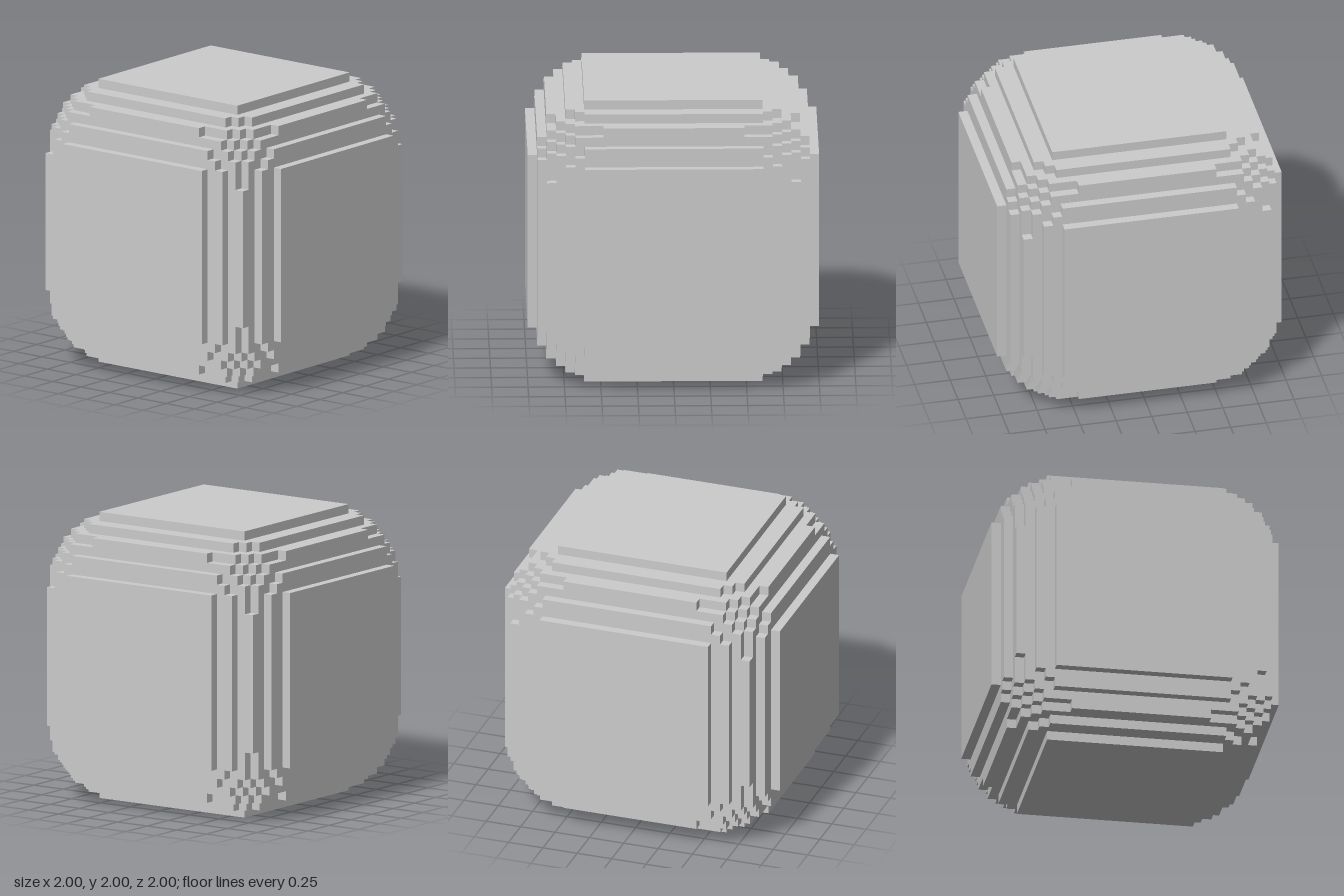
import * as THREE from 'three';

const R = 15;            // cells from the centre to each side (31 cells across)
const UNIT = 2 / 31;     // size of one cell
const CORE = 7.4;        // half size of the straight core inside the rounding
const ROUND_SQ = 63;     // squared rounding radius, in cells

// Is the cell inside the rounded cube?
function inside(...cell) {
  const d = cell.map(v => Math.max(0, Math.abs(v) - CORE));
  return d[0] * d[0] + d[1] * d[1] + d[2] * d[2] <= ROUND_SQ;
}

// Outermost filled cell of the column at (u, v), or -1 if it is empty
function height(u, v) {
  for (let k = R; k >= 0; k--) if (inside(u, v, k)) return k;
  return -1;
}

// Split the stepped height map into as few flat rectangles as practical
function terraces() {
  const used = new Set(), rects = [];
  const free = (u, v, h) => u <= R && v <= R && !used.has(u + ',' + v) && height(u, v) === h;
  for (let v = -R; v <= R; v++) {
    for (let u = -R; u <= R; u++) {
      const h = height(u, v);
      if (h < 0 || !free(u, v, h)) continue;
      let u1 = u, v1 = v;
      while (free(u1 + 1, v, h)) u1++;
      const rowFree = row => {
        for (let i = u; i <= u1; i++) if (!free(i, row, h)) return false;
        return true;
      };
      while (rowFree(v1 + 1)) v1++;
      for (let j = v; j <= v1; j++) for (let i = u; i <= u1; i++) used.add(i + ',' + j);
      rects.push({ u0: u - 0.5, u1: u1 + 0.5, v0: v - 0.5, v1: v1 + 0.5, h: h + 0.5 });
    }
  }
  return rects;
}

// All terraces that face along one axis, in one direction
function sideGeometry(rects, axis, sign) {
  const positions = [], normals = [], index = [];
  for (const { u0, u1, v0, v1, h } of rects) {
    const base = positions.length / 3;
    for (const [u, v] of [[u0, v0], [u1, v0], [u1, v1], [u0, v1]]) {
      const p = [0, 0, 0], n = [0, 0, 0];
      p[axis] = sign * h * UNIT;
      p[(axis + 1) % 3] = u * UNIT;
      p[(axis + 2) % 3] = v * UNIT;
      n[axis] = sign;
      positions.push(...p);
      normals.push(...n);
    }
    const order = sign > 0 ? [0, 1, 2, 0, 2, 3] : [0, 2, 1, 0, 3, 2];
    index.push(...order.map(i => base + i));
  }
  const geometry = new THREE.BufferGeometry();
  geometry.setAttribute('position', new THREE.Float32BufferAttribute(positions, 3));
  geometry.setAttribute('normal', new THREE.Float32BufferAttribute(normals, 3));
  geometry.setIndex(index);
  return geometry;
}

export function createModel() {
  const group = new THREE.Group();
  group.name = 'steppedRoundedCube';
  const material = new THREE.MeshStandardMaterial({ color: 0xcccccc, flatShading: true });
  const rects = terraces();

  // Six stepped sides that close into one solid block
  const names = [['leftSide', 'rightSide'], ['topSide', 'bottomSide'], ['frontSide', 'backSide']];
  names.forEach((pair, axis) => pair.forEach((name, i) => {
    const mesh = new THREE.Mesh(sideGeometry(rects, axis, i === 0 ? 1 : -1), material);
    mesh.name = name;
    mesh.position.y = 1;
    group.add(mesh);
  }));
  return group;
}
